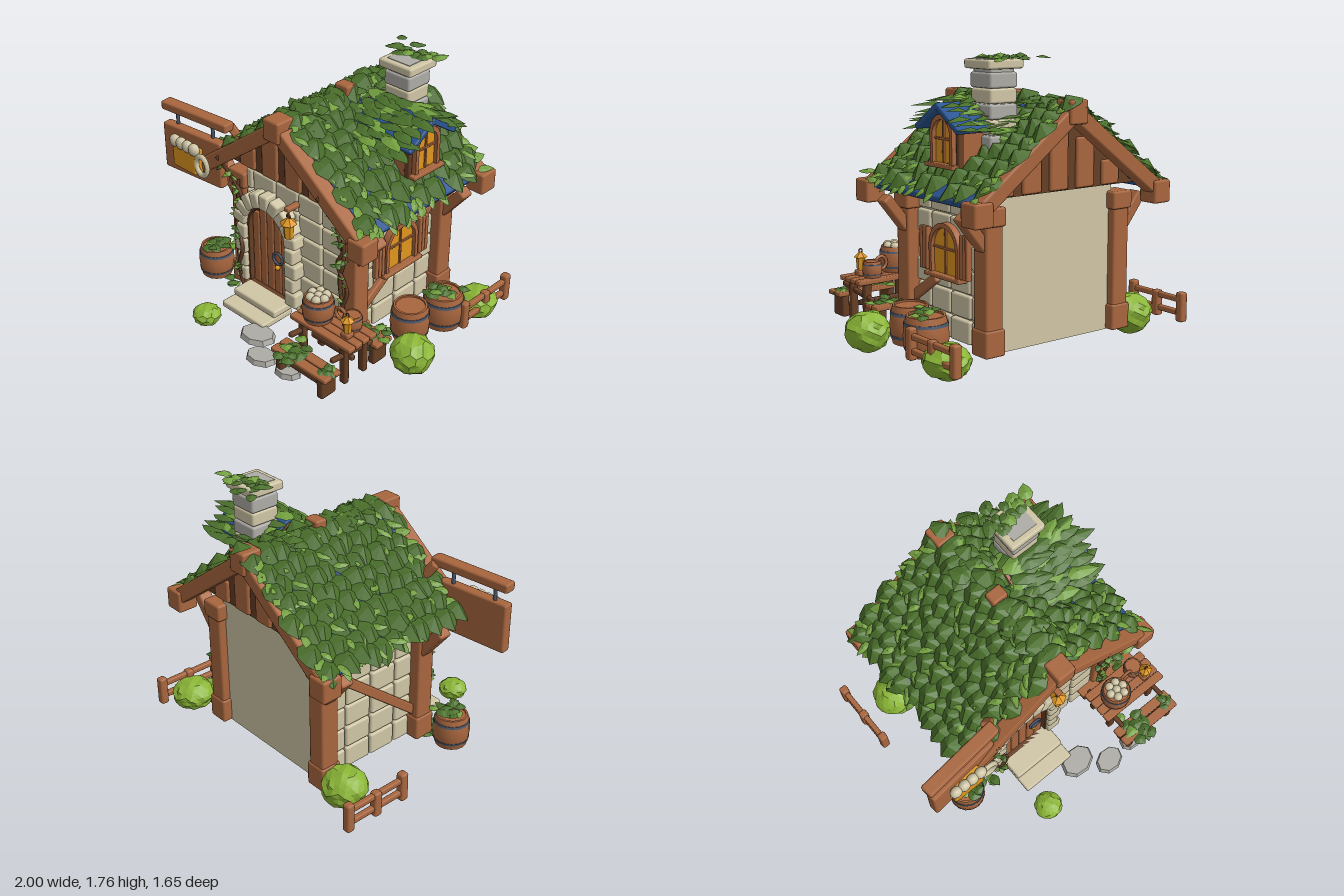
import * as THREE from 'three';
import { mergeGeometries, toCreasedNormals } from 'three/addons/utils/BufferGeometryUtils.js';
import { RoundedBoxGeometry } from 'three/addons/geometries/RoundedBoxGeometry.js';

const mat = (name, color, side = THREE.FrontSide) => Object.assign(new THREE.MeshStandardMaterial({ color, side }), { name });
const M = {
  wood: mat('wood', 0xa8663e), dark: mat('dark wood', 0x653e25), stone: mat('pale stone', 0xd0c6a6),
  grey: mat('grey stone', 0xaeaca6), blue: mat('roof blue', 0x2a5592), metal: mat('iron', 0x4b586c),
  amber: mat('amber', 0xe0961e), leaf: mat('dark leaf', 0x4a6f2b, THREE.DoubleSide),
  sprig: mat('light leaf', 0x729f3e, THREE.DoubleSide), bush: mat('bush green', 0x8ab536),
};
let seed = 7;
const rnd = (a = 0, b = 1) => { seed = (seed * 16807) % 2147483647; return a + (b - a) * seed / 2147483647; };
const V = (x, y, z) => new THREE.Vector3(x, y, z);

function add(parent, name, geo, m, x = 0, y = 0, z = 0, rx = 0, ry = 0, rz = 0) {
  const mesh = new THREE.Mesh(geo, m);
  mesh.name = name; mesh.position.set(x, y, z); mesh.rotation.set(rx, ry, rz);
  parent.add(mesh); return mesh;
}
function group(parent, name, x = 0, y = 0, z = 0, ry = 0) {
  const g = new THREE.Group(); g.name = name; g.position.set(x, y, z); g.rotation.y = ry; parent.add(g); return g;
}
function box(p, name, m, w, h, d, x, y, z, rx = 0, ry = 0, rz = 0) {
  return add(p, name, new RoundedBoxGeometry(w, h, d, 1, Math.min(0.014, w / 4, h / 4, d / 4)), m, x, y, z, rx, ry, rz);
}
function beam(p, name, m, a, b, w, d) {
  const dir = b.clone().sub(a), c = a.clone().add(b).multiplyScalar(0.5);
  const mesh = box(p, name, m, w, dir.length(), d, c.x, c.y, c.z);
  mesh.quaternion.setFromUnitVectors(V(0, 1, 0), dir.normalize()); return mesh;
}
const flat = g => { const n = g.index ? g.toNonIndexed() : g; n.computeVertexNormals(); return n; };
const cyl = (r1, r2, h, n = 12) => new THREE.CylinderGeometry(r1, r2, h, n);

// One domed leaf along +x with a pointed tip; leaves() merges many of them
function leafGeo(rise) {
  const rim = [[0, 0], [0.1, 0.36], [0.4, 0.5], [0.72, 0.34], [1, 0], [0.72, -0.34], [0.4, -0.5], [0.1, -0.36]], pos = [];
  rim.forEach((a, i) => { const b = rim[(i + 1) % 8]; pos.push(0.42, rise, 0, a[0], 0, a[1], b[0], 0, b[1]); });
  const g = new THREE.BufferGeometry();
  g.setAttribute('position', new THREE.Float32BufferAttribute(pos, 3));
  return g;
}
function leaves(p, name, m, specs, rise = 0.22) {
  const base = leafGeo(rise);
  const g = mergeGeometries(specs.map(([x, y, z, yaw, pitch, len, wid]) => base.clone().applyMatrix4(
    new THREE.Matrix4().compose(V(x, y, z), new THREE.Quaternion().setFromEuler(new THREE.Euler(0, yaw, pitch, 'YZX')), V(len, wid, wid)))));
  return add(p, name, flat(g), m);
}
// Loose pile of leaves around a spot
function ivy(p, name, n, x, y, z, rx, rz, size = 0.09, ry = 0.015) {
  const make = k => Array.from({ length: k }, () => [x + rnd(-rx, rx), y + rnd(-ry, ry), z + rnd(-rz, rz), rnd(0, 6.28), rnd(-0.2, 0.2), size * rnd(0.8, 1.2), size * rnd(0.7, 1)]);
  leaves(p, name, M.leaf, make(n)); leaves(p, name + ' sprigs', M.sprig, make(Math.ceil(n / 4)));
}
function bush(p, x, y, z, r, sy = 0.9) {
  const g = new THREE.IcosahedronGeometry(r, 3), a = g.attributes.position;
  for (let i = 0; i < a.count; i++) {
    const v = V(a.getX(i), a.getY(i), a.getZ(i)), k = 1 + 0.055 * Math.sin(v.x / r * 23 + v.y / r * 31 + v.z / r * 17);
    a.setXYZ(i, v.x * k, v.y * k * sy, v.z * k);
  }
  add(p, 'bush', flat(g), M.bush, x, y, z);
}
function barrel(p, x, y, z, r, h) {
  const b = group(p, 'barrel', x, y, z);
  const pts = [[0, 0], [0.85, 0], [0.96, 0.25], [1, 0.5], [0.96, 0.75], [0.85, 1], [0.74, 1], [0.74, 0.95], [0, 0.95]];
  add(b, 'staves', toCreasedNormals(new THREE.LatheGeometry(pts.map(q => new THREE.Vector2(q[0] * r, q[1] * h)), 16), 0.5), M.wood);
  for (const t of [0.2, 0.8]) add(b, 'hoop', toCreasedNormals(cyl(r * (t < 0.5 ? 0.98 : 0.95), r * (t < 0.5 ? 0.95 : 0.98), h * 0.075, 16), 0.6), M.metal, 0, h * t, 0);
}
function lantern(p, x, y, z, size) {
  const l = group(p, 'lantern', x, y, z);
  l.scale.setScalar(size);
  add(l, 'glass', flat(cyl(0.037, 0.03, 0.1, 6)), M.amber, 0, 0.05, 0);
  add(l, 'cap', flat(cyl(0.01, 0.055, 0.04, 6)), M.amber, 0, 0.12, 0);
  add(l, 'ring', new THREE.TorusGeometry(0.015, 0.005, 5, 10), M.dark, 0, 0.15, 0);
}
function arch(w, h, path = false) {
  const s = path ? new THREE.Path() : new THREE.Shape(), r = w / 2;
  s.moveTo(-r, 0).lineTo(r, 0).lineTo(r, h - r).absarc(0, h - r, r, 0, Math.PI, false).lineTo(-r, 0);
  return s;
}
const extrude = (s, d) => new THREE.ExtrudeGeometry(s, { depth: d, bevelEnabled: false, curveSegments: 10 });
// Arched window facing +x, standing on its sill
function archWindow(p, w, h, x, y, z) {
  const g = group(p, 'arched window', x, y, z, Math.PI / 2), f = arch(w, h);
  f.holes.push(arch(w - 0.05, h - 0.03, true));
  add(g, 'frame', toCreasedNormals(extrude(f, 0.045), 0.6), M.wood);
  add(g, 'pane', extrude(arch(w - 0.04, h - 0.02), 0.008), M.amber, 0, 0, 0.012);
  box(g, 'upright bar', M.wood, 0.014, h - 0.03, 0.014, 0, h / 2, 0.024);
  box(g, 'cross bar', M.wood, w - 0.03, 0.014, 0.014, 0, h * 0.52, 0.024);
  box(g, 'sill', M.wood, w + 0.06, 0.025, 0.07, 0, 0, 0.03);
}
// Raised stone blocks in courses, facing +z of a turned group
function stoneWall(p, w, first, x, z, ry) {
  const g = group(p, 'stone blocks', x, 0, z, ry);
  for (let r = 0; r < 6; r++) {
    for (let u = -w / 2, bw = first; u < w / 2 - 0.01; u += bw, bw = Math.min(0.2, w / 2 - u))
      box(g, 'block', M.stone, bw - 0.01, 0.14, 0.056, u + bw / 2, 0.145 + r * 0.15, rnd(-0.006, 0.004));
  }
}
function vine(p, pts) {
  const c = new THREE.CatmullRomCurve3(pts.map(q => V(...q)));
  add(p, 'vine stem', new THREE.TubeGeometry(c, 30, 0.013, 6), M.dark);
  const specs = k => Array.from({ length: k }, () => { const q = c.getPoint(rnd()); return [q.x, q.y, q.z, rnd(-3.4, 0.3), rnd(-0.8, 0.8), 0.055, 0.04]; });
  leaves(p, 'vine leaves', M.leaf, specs(8)); leaves(p, 'vine sprigs', M.sprig, specs(6));
}

export function createModel() {
  const root = new THREE.Group(); root.name = 'tavern';
  const ANG = Math.atan2(0.5, 0.67), ZC = -0.18;

  // Walls, corner posts and braces
  add(root, 'wall core', new THREE.BoxGeometry(0.88, 0.9, 0.8), M.stone, 0, 0.52, -0.18);
  stoneWall(root, 0.84, 0.06, 0, 0.225, 0);
  for (const s of [1, -1]) {
    stoneWall(root, 0.7, 0.15, s * 0.44, -0.18, s * Math.PI / 2);
    for (const z of [0.21, -0.57]) {
      box(root, 'corner post', M.wood, 0.12, 0.85, 0.125, s * 0.48, 0.5, z);
      box(root, 'post head', M.wood, 0.15, 0.11, 0.15, s * 0.48, 0.87, z);
      box(root, 'post foot', M.wood, 0.14, 0.16, 0.145, s * 0.48, 0.15, z);
      beam(root, 'knee brace', M.wood, V(s * 0.51, 0.69, z), V(s * 0.67, 0.89, z), 0.07, 0.09);
    }
  }
  beam(root, 'wall brace', M.wood, V(-0.48, 0.26, 0.17), V(-0.48, 0.83, -0.54), 0.04, 0.06);
  beam(root, 'lower wall brace', M.wood, V(0.48, 0.27, 0.17), V(0.48, 0.43, -0.07), 0.04, 0.06);
  beam(root, 'upper wall brace', M.wood, V(0.48, 0.71, -0.39), V(0.48, 0.83, -0.54), 0.04, 0.06);

  // Gables: planks, sloping beams and joint blocks at both ends
  for (const e of [1, -1]) {
    const zw = ZC + e * 0.395, zb = ZC + e * 0.54;
    const panel = new THREE.Shape().moveTo(-0.6, 0.965).lineTo(0.6, 0.965).lineTo(0, 1.42);
    add(root, 'gable panel', extrude(panel, 0.05), M.dark, 0, 0, zw - 0.025);
    for (let i = -2; i <= 2; i++) {
      const top = 1.42 - Math.abs(i) * 0.15;
      box(root, 'gable plank', M.wood, 0.135, top - 0.97, 0.09, i * 0.2, (top + 0.97) / 2, zw);
    }
    for (const s of [1, -1]) {
      beam(root, 'gable beam', M.wood, V(0, 1.43, zb), V(s * 0.67, 0.93, zb), 0.095, 0.1);
      if (s > 0 || e < 0) box(root, 'eave block', M.wood, 0.13, 0.14, 0.135, s * 0.67, 0.92, zb);
    }
    box(root, 'ridge block', M.wood, 0.13, 0.14, 0.135, 0, 1.435, zb);
  }
  box(root, 'ridge saddle', M.wood, 0.11, 0.09, 0.085, 0, 1.485, -0.2);

  // Roof slabs under rows of overlapping leaves
  for (const s of [1, -1]) {
    const outer = group(root, 'roof side', 0, 1.45, ZC, s > 0 ? 0 : Math.PI), g = group(outer, 'slope');
    g.rotation.z = -ANG;
    box(g, 'roof slab', M.blue, 0.86, 0.05, 0.98, 0.41, 0, 0);
    const big = [], small = [];
    for (let r = 0; r < 8; r++) for (let c = 0; c < 11; c++) {
      const x = (s < 0 ? -0.03 : -0.06) + r * 0.108, z = s * (-0.515 + c * 0.097 + (r % 2 ? 0.022 : -0.022));
      if (r < 7 || s < 0 || c % 3) big.push([x + rnd(-0.02, 0.02), 0.026 + rnd(0, 0.01), z, rnd(-0.35, 0.35), rnd(0, 0.14), rnd(0.17, 0.2), rnd(0.14, 0.17)]);
      if (rnd() < 0.5) small.push([x + 0.07, 0.05, z + 0.05, rnd(-1.3, 1.3), rnd(0.1, 0.4), rnd(0.08, 0.12), 0.05]);
    }
    for (let i = 0; i < 10; i++) for (const e of [0.43, -0.5]) small.push([0.05 + i * 0.085, 0.04, s * e, -s * Math.sign(e) * rnd(0.5, 1.5), 0.2, 0.11, 0.07]);
    for (let i = 0; i < 9; i++) small.push([0.8 + rnd(-0.03, 0.03), 0.04, rnd(-0.47, 0.47), rnd(-0.8, 0.8), -0.1, 0.09, 0.06]);
    leaves(g, 'roof leaves', M.leaf, big, 0.38); leaves(g, 'roof sprigs', M.sprig, small);
  }
  for (const z of [0.1, -0.42]) ivy(root, 'ridge leaves', 14, 0, 1.47, z, 0.05, 0.16, 0.13, 0.01);

  // Dormer
  const dm = group(root, 'dormer', 0, 0, -0.28);
  const face = new THREE.Shape().moveTo(-0.135, 1.1).lineTo(0.135, 1.1).lineTo(0.135, 1.37).lineTo(0, 1.47).lineTo(-0.135, 1.37);
  add(dm, 'dormer body', extrude(face, 0.42), M.wood, 0.13, 0, 0, 0, Math.PI / 2);
  archWindow(dm, 0.215, 0.29, 0.55, 1.13, 0);
  for (const s of [1, -1]) {
    box(dm, 'dormer post', M.dark, 0.04, 0.25, 0.03, 0.55, 1.24, s * 0.125);
    beam(dm, 'dormer roof', M.blue, V(0.39, 1.475, -s * 0.01), V(0.39, 1.335, s * 0.205), 0.48, 0.035);
    const a = [], b = [];
    for (let r = 0; r < 6; r++) for (let c = 0; c < 6; c++) {
      const t = r / 4.6;
      if (c === 4 && r === 3) continue;
      const spec = [0.12 + c * 0.072 + rnd(-0.02, 0.02), 1.5 - t * 0.15, s * t * 0.21, rnd(-0.3, 0.3) - s * 0.2, rnd(-0.12, 0.1), rnd(0.18, 0.24), 0.1];
      ((r * 6 + c) % 4 ? a : b).push(spec);
    }
    leaves(dm, 'dormer leaves', M.leaf, a); leaves(dm, 'dormer sprigs', M.sprig, b);
  }

  // Chimney
  const ch = group(root, 'chimney', 0.31, 0, -0.4);
  for (let i = 0; i < 5; i++) box(ch, 'chimney course', i % 2 ? M.grey : M.stone, 0.19 + (i % 2) * 0.006, 0.085, 0.19 + (i % 2) * 0.006, 0, 1.17 + i * 0.088, 0);
  box(ch, 'chimney neck', M.grey, 0.195, 0.09, 0.195, 0, 1.61, 0);
  box(ch, 'chimney throat', M.grey, 0.17, 0.06, 0.17, 0, 1.66, 0);
  box(ch, 'chimney cap', M.stone, 0.25, 0.055, 0.24, 0, 1.7, 0);
  add(ch, 'flue', new THREE.BoxGeometry(0.17, 0.01, 0.17), M.grey, 0, 1.726, 0);
  ivy(ch, 'chimney ivy', 18, -0.02, 1.735, -0.09, 0.16, 0.08, 0.09, 0.005);

  // Arched doorway, plank door and steps
  const dr = group(root, 'doorway', -0.19, 0.16, 0.24);
  add(dr, 'door back', extrude(arch(0.35, 0.62), 0.02), M.dark);
  for (let i = -2; i <= 2; i++) {
    const x = i * 0.064, h = 0.43 + Math.sqrt(0.165 ** 2 - x * x);
    box(dr, 'door plank', M.wood, 0.058, h, 0.03, x, h / 2, 0.02);
  }
  const ring = arch(0.37, 0.625); ring.holes.push(arch(0.33, 0.6, true));
  add(dr, 'door frame', extrude(ring, 0.06), M.dark);
  for (const s of [1, -1]) for (let i = 0; i < 4; i++)
    box(dr, 'jamb stone', M.stone, i % 2 ? 0.08 : 0.1, 0.102, 0.11, s * (i % 2 ? 0.215 : 0.225), 0.05 + i * 0.107, 0.035);
  for (let i = 0; i < 9; i++) {
    const a = Math.PI * (i + 0.5) / 9;
    box(dr, 'arch stone', M.stone, 0.105, 0.076, 0.115, Math.cos(a) * 0.23, 0.435 + Math.sin(a) * 0.23, 0.035, 0, 0, a);
  }
  add(dr, 'door ring', new THREE.TorusGeometry(0.04, 0.009, 6, 16), M.metal, 0.085, 0.28, 0.05);
  add(dr, 'door knob', new THREE.SphereGeometry(0.018, 8, 6), M.amber, 0.075, 0.205, 0.045);
  box(root, 'upper step', M.stone, 0.38, 0.05, 0.2, -0.18, 0.135, 0.34);
  box(root, 'lower step', M.stone, 0.38, 0.045, 0.26, -0.18, 0.09, 0.41);
  box(root, 'lantern arm', M.wood, 0.04, 0.03, 0.12, 0.04, 0.89, 0.29);
  add(root, 'lantern chain', cyl(0.006, 0.006, 0.06, 6), M.dark, 0.04, 0.86, 0.33);
  lantern(root, 0.04, 0.69, 0.33, 1);

  // Side window with shutters
  archWindow(root, 0.29, 0.32, 0.47, 0.455, -0.18);
  for (const z of [0.02, -0.38]) for (let i = -1; i <= 1; i++) box(root, 'shutter slat', M.wood, 0.035, 0.26, 0.026, 0.5, 0.6, z + i * 0.028);

  // Hanging sign with a mug
  const sg = group(root, 'hanging sign', -0.75, 0, 0.365, 0.1);
  box(sg, 'sign arm', M.wood, 0.55, 0.06, 0.085, 0.02, 1.255, 0);
  box(sg, 'sign board', M.wood, 0.49, 0.32, 0.07, 0, 0.98, 0.01);
  for (const x of [-0.15, 0.15]) add(sg, 'hanger', cyl(0.012, 0.012, 0.12, 8), M.metal, x, 1.18, 0);
  const mug = group(root, 'sign mug', -0.76, 0, 0.45);
  box(mug, 'mug body', M.amber, 0.22, 0.17, 0.075, 0, 0.975, -0.02);
  for (let i = 0; i < 4; i++) add(mug, 'mug foam', new THREE.SphereGeometry(0.042, 10, 8), M.stone, -0.087 + i * 0.06, 1.068, 0.005).scale.z = 0.8;
  add(mug, 'mug handle', new THREE.TorusGeometry(0.052, 0.016, 8, 16), M.stone, 0.155, 0.975, 0).scale.y = 1.25;
  beam(root, 'sign support', M.wood, V(-0.5, 1.25, 0.3), V(-0.4, 1.1, 0.25), 0.05, 0.06);

  // Table, benches and what stands on them
  for (let i = 0; i < 4; i++) box(root, 'table board', M.wood, 0.49, 0.032, 0.056, 0.53, 0.35, 0.36 + i * 0.06);
  for (const x of [0.36, 0.7]) {
    for (const z of [0.37, 0.53]) box(root, 'table leg', M.dark, 0.05, 0.27, 0.04, x, 0.205, z);
    beam(root, 'table brace', M.dark, V(x, 0.29, 0.64), V(x, 0.24, 0.3), 0.03, 0.03);
    for (const z of [0.68, 0.24]) box(root, 'bench leg', M.dark, 0.05, 0.14, 0.12, x, 0.14, z);
  }
  box(root, 'table stretcher', M.dark, 0.34, 0.035, 0.03, 0.53, 0.2, 0.45);
  box(root, 'bench stretcher', M.dark, 0.34, 0.03, 0.03, 0.53, 0.13, 0.68);
  for (const z of [0.68, 0.24]) for (const d of [-0.036, 0.036]) box(root, 'bench board', M.wood, 0.45, 0.03, 0.065, 0.53, 0.22, z + d);
  ivy(root, 'bench ivy', 14, 0.44, 0.24, 0.68, 0.06, 0.07); ivy(root, 'bench end ivy', 6, 0.72, 0.235, 0.68, 0.03, 0.05, 0.07);
  ivy(root, 'back bench ivy', 10, 0.6, 0.245, 0.24, 0.13, 0.05, 0.08);
  barrel(root, 0.43, 0.366, 0.47, 0.1, 0.16);
  for (let i = 0; i < 7; i++) add(root, 'keg foam', new THREE.SphereGeometry(0.03, 8, 6), M.stone, 0.43 + (i ? Math.cos(i * 1.05) * 0.05 : 0), 0.525, 0.47 + (i ? Math.sin(i * 1.05) * 0.05 : 0));
  barrel(root, 0.64, 0.366, 0.4, 0.062, 0.1);
  add(root, 'tankard handle', new THREE.TorusGeometry(0.04, 0.011, 6, 14), M.wood, 0.565, 0.44, 0.42);
  lantern(root, 0.675, 0.4, 0.48, 0.8);
  box(root, 'lantern stand', M.wood, 0.06, 0.034, 0.06, 0.675, 0.383, 0.48);

  // Barrels, bushes, paving and vines
  barrel(root, -0.69, 0.07, 0.3, 0.118, 0.21); ivy(root, 'barrel ivy', 12, -0.68, 0.29, 0.3, 0.07, 0.07);
  barrel(root, 0.68, 0.07, -0.08, 0.125, 0.23);
  barrel(root, 0.74, 0.07, -0.33, 0.135, 0.23); ivy(root, 'barrel ivy', 10, 0.74, 0.31, -0.33, 0.08, 0.08);
  bush(root, 0.86, 0.125, 0.1, 0.135); bush(root, 0.79, 0.105, -0.61, 0.135, 0.75);
  bush(root, 0.75, 0.08, -0.47, 0.1, 0.75); bush(root, -0.33, 0.11, 0.7, 0.09, 0.72);
  bush(root, -0.64, 0.13, -0.55, 0.14);
  ivy(root, 'ground ivy', 8, -0.55, 0.08, 0.28, 0.1, 0.08, 0.08); ivy(root, 'ground ivy', 8, 0.56, 0.09, 0.1, 0.04, 0.1, 0.08);
  for (const [x, z, r] of [[0.02, 0.59, 0.125], [0.19, 0.72, 0.105], [0.4, 0.7, 0.09]])
    add(root, 'paving stone', flat(cyl(r * 0.88, r, 0.035, 8)), M.grey, x, 0.08, z, 0, 0.2, 0).scale.z = 0.75;
  vine(root, [[-0.39, 0.08, 0.32], [-0.43, 0.25, 0.33], [-0.38, 0.42, 0.34], [-0.47, 0.6, 0.3], [-0.4, 0.78, 0.31], [-0.48, 0.92, 0.33], [-0.5, 1.08, 0.42]]);
  vine(root, [[-0.41, 0.2, 0.33], [-0.47, 0.45, 0.3], [-0.45, 0.7, 0.3], [-0.43, 0.9, 0.31]]);
  vine(root, [[0.48, 0.1, 0.31], [0.46, 0.35, 0.3], [0.5, 0.5, 0.3], [0.42, 0.66, 0.3], [0.48, 0.8, 0.31], [0.41, 0.98, 0.3], [0.36, 1.15, 0.42]]);
  vine(root, [[0.48, 0.3, 0.3], [0.43, 0.55, 0.29], [0.47, 0.72, 0.3], [0.4, 0.9, 0.29]]);

  // Fences on both sides
  for (const [x, z0] of [[-0.895, -0.54], [0.87, -0.585]]) {
    const f = group(root, 'fence', x, 0, z0);
    for (const z of [-0.21, 0, 0.21]) box(f, 'fence post', M.wood, 0.055, z ? 0.19 : 0.165, 0.055, 0, z ? 0.165 : 0.153, z);
    for (const y of [0.125, 0.21]) box(f, 'fence rail', M.wood, 0.035, 0.036, 0.44, 0, y, 0);
  }
  return root;
}
